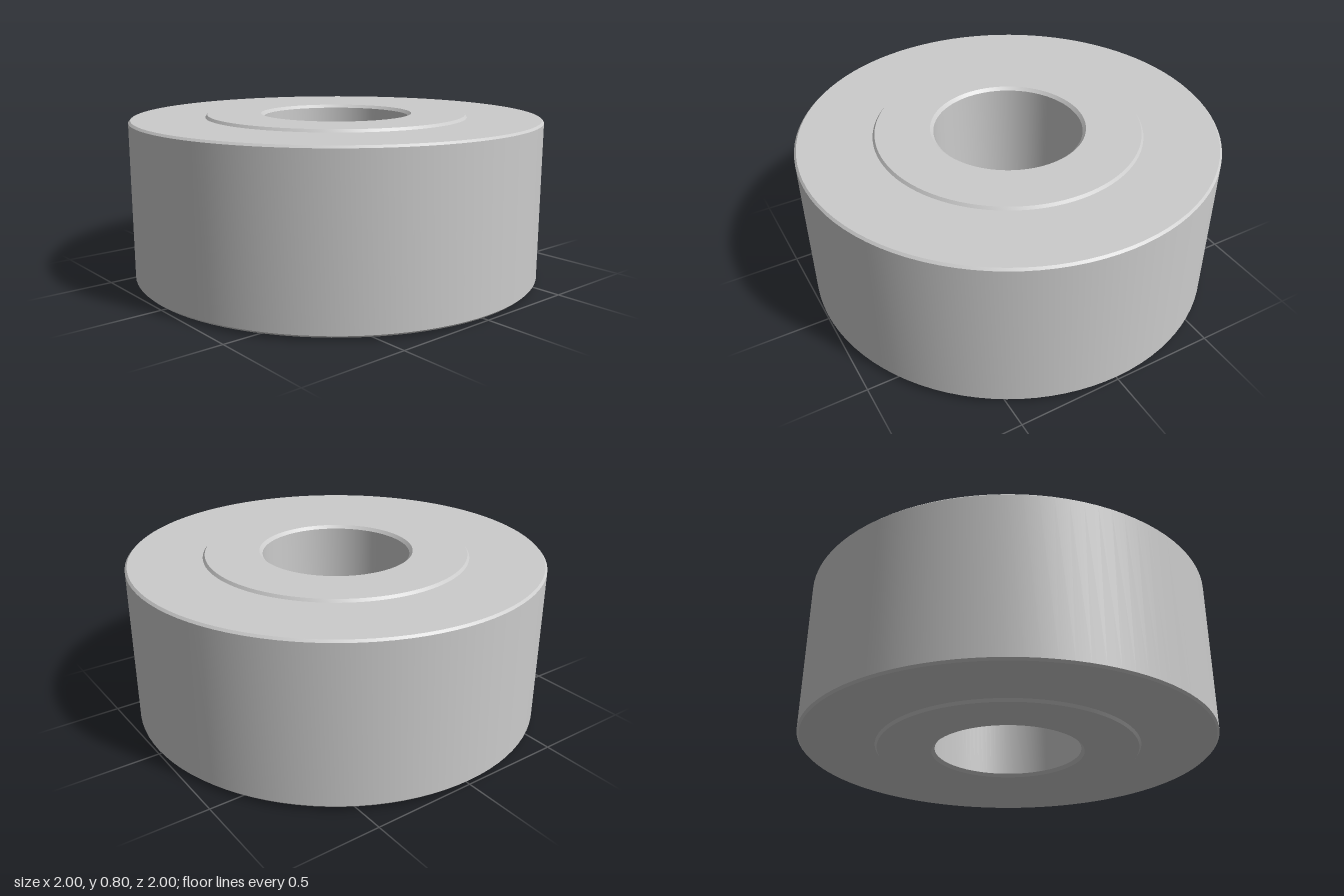
import * as THREE from 'three';
import { toCreasedNormals } from 'three/addons/utils/BufferGeometryUtils.js';

const HEIGHT = 0.795;
const STEP = 0.013;      // how far the hub stands proud of the ring
const OUTER = 1, HUB = 0.64, BORE = 0.355;
const CHAMFER = 0.01;

// Revolves [radius, y] points, keeping profile corners sharp
function revolve(name, profile, material) {
  const points = profile.map(([r, y]) => new THREE.Vector2(r, y));
  const geometry = toCreasedNormals(new THREE.LatheGeometry(points, 96), Math.PI / 9);
  const mesh = new THREE.Mesh(geometry, material);
  mesh.name = name;
  return mesh;
}

export function createModel() {
  const group = new THREE.Group();
  group.name = 'rollerBearing';
  const material = new THREE.MeshStandardMaterial({ color: 0xcccccc, side: THREE.DoubleSide });
  const low = STEP, high = HEIGHT - STEP;

  // Wide outer ring with chamfered rims
  group.add(revolve('outerRing', [
    [HUB, low],
    [OUTER - CHAMFER, low],
    [OUTER, low + CHAMFER],
    [OUTER, high - CHAMFER],
    [OUTER - CHAMFER, high],
    [HUB, high],
  ], material));

  // Slightly raised hub with a chamfered through bore
  const mouth = 0.015;
  group.add(revolve('hub', [
    [HUB, high],
    [HUB - CHAMFER, HEIGHT],
    [BORE + mouth, HEIGHT],
    [BORE, HEIGHT - mouth],
    [BORE, mouth],
    [BORE + mouth, 0],
    [HUB - CHAMFER, 0],
    [HUB, low],
  ], material));

  return group;
}
